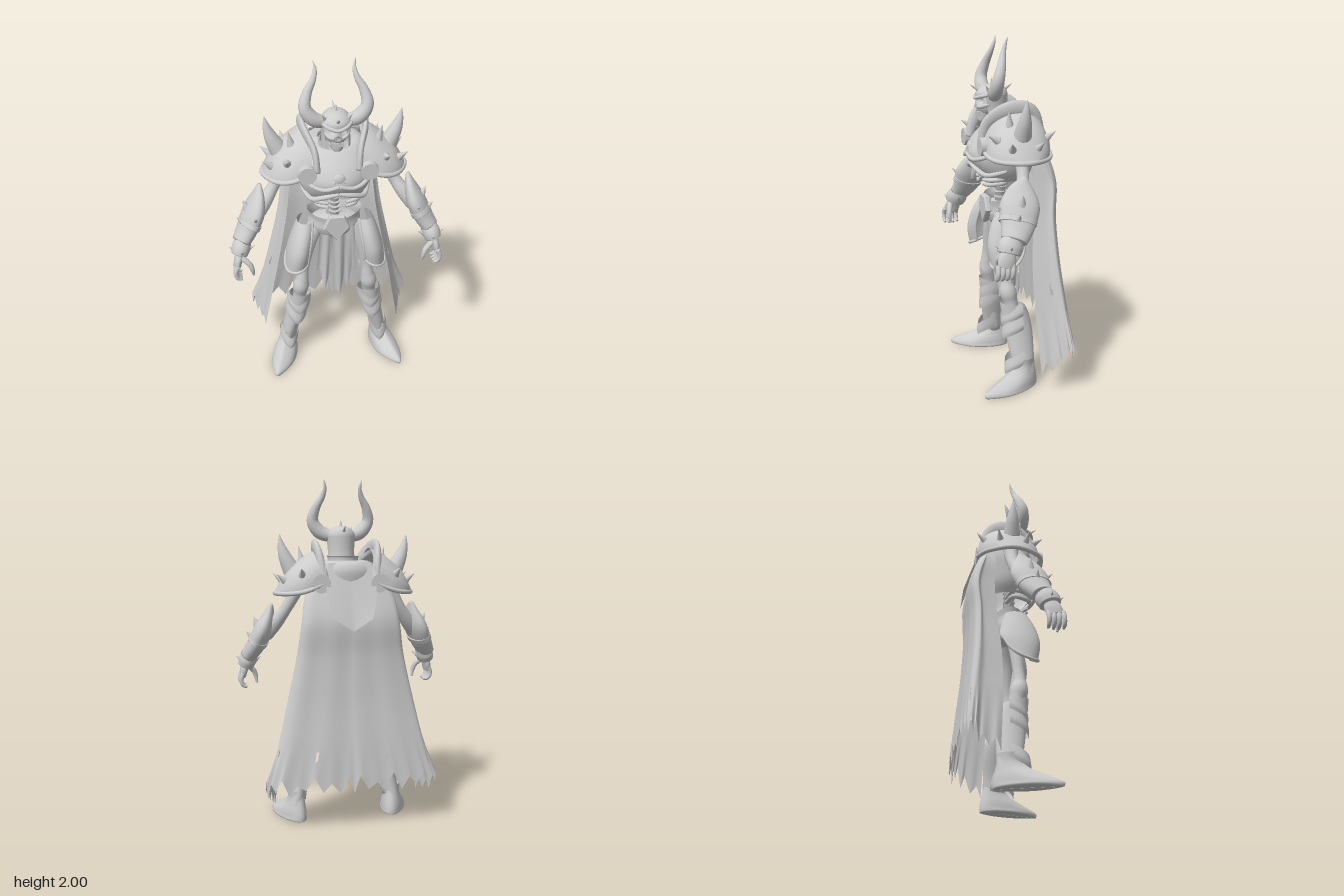
import * as THREE from 'three';

const grey = new THREE.MeshStandardMaterial({ color: 0xcccccc, side: THREE.DoubleSide });
grey.name = 'light grey';

// smooth interpolation through rows of numbers
function along(rows, t) {
  const f = Math.min(Math.max(t, 0), 1) * (rows.length - 1);
  const i = Math.min(Math.floor(f), rows.length - 2), k = f - i;
  const at = j => rows[Math.min(Math.max(j, 0), rows.length - 1)];
  return rows[0].map((_, c) => {
    const [p, a, b, n] = [at(i - 1)[c], at(i)[c], at(i + 1)[c], at(i + 2)[c]];
    const m0 = (b - p) / 2, m1 = (n - a) / 2;
    return a + m0 * k + (3 * (b - a) - 2 * m0 - m1) * k * k + (2 * (a - b) + m0 + m1) * k * k * k;
  });
}

// grid surface from fn(u, v); skip(i, j) leaves holes
function sheet(fn, nu, nv, wrap = false, skip = () => false) {
  const pos = [], idx = [], cols = wrap ? nu : nu + 1;
  for (let j = 0; j <= nv; j++) for (let i = 0; i < cols; i++) pos.push(...fn(i / nu, j / nv));
  for (let j = 0; j < nv; j++) for (let i = 0; i < nu; i++) {
    if (skip(i, j)) continue;
    const a = j * cols + i, b = j * cols + (i + 1) % cols;
    idx.push(a, b, a + cols, b, b + cols, a + cols);
  }
  const g = new THREE.BufferGeometry();
  g.setAttribute('position', new THREE.Float32BufferAttribute(pos, 3));
  g.setIndex(idx);
  g.computeVertexNormals();
  return g;
}

// stacked horizontal ellipses, rows: [y, cx, cz, rx, rz]
function loft(rows, { a0 = 0, a1 = Math.PI * 2, warp = () => 0, nv = 16 } = {}) {
  return sheet((u, v) => {
    const [y, cx, cz, rx, rz] = along(rows, v), a = a0 + (a1 - a0) * u;
    return [cx + rx * Math.sin(a), y + warp(a, v, u), cz + rz * Math.cos(a)];
  }, 36, nv, a1 - a0 > 6.28);
}

// tapered tube, rows: [x, y, z, r] or [x, y, z, rAlongRef, rAcross]; closed at both ends
function limb(rows, ref = [0, 0, 1], nu = 14) {
  const nv = rows.length * 5;
  const R = new THREE.Vector3(...ref), T = new THREE.Vector3(), N = new THREE.Vector3(), B = new THREE.Vector3();
  return sheet((u, v) => {
    const t = (v * (nv + 2) - 1) / nv, p = along(rows, t);
    const q0 = along(rows, Math.max(t, 0) - 0.01 * (t > 0.5)), q1 = along(rows, Math.min(t, 1) + 0.01 * (t <= 0.5));
    T.set(q1[0] - q0[0], q1[1] - q0[1], q1[2] - q0[2]).normalize();
    N.copy(R).addScaledVector(T, -R.dot(T)).normalize();
    B.crossVectors(T, N);
    const end = t < -1e-6 || t > 1 + 1e-6 ? 0.001 : 1, a = u * Math.PI * 2;
    const c = p[3] * end * Math.cos(a), s = (p[4] ?? p[3]) * end * Math.sin(a);
    return [0, 1, 2].map(k => p[k] + N.getComponent(k) * c + B.getComponent(k) * s);
  }, nu, nv + 2, true);
}
const spike = (a, b, r) => limb([[...a, r], [...a.map((p, k) => p + (b[k] - p) * 0.5), r * 0.5], [...b, 0.001]], [0.6, 0, 0.8], 10);

function mirrored(g) {
  const m = g.clone().scale(-1, 1, 1);
  for (let i = 0, A = m.index.array; i < A.length; i += 3) [A[i], A[i + 1]] = [A[i + 1], A[i]];
  m.computeVertexNormals();
  return m;
}

export function createModel() {
  const model = new THREE.Group();
  model.name = 'hornedKnight';
  const add = (name, g) => { const m = new THREE.Mesh(g, grey); m.name = name; model.add(m); };
  const pair = (name, g) => { add(name + 'Left', g); add(name + 'Right', mirrored(g)); };
  let seed = 11;
  const rand = () => (seed = (seed * 16807) % 2147483647) / 2147483647;

  // head: skull with sunken eyes and nose, jaw, helmet
  const skull = new THREE.SphereGeometry(1, 40, 32).scale(0.068, 0.085, 0.09).translate(0, 1.635, 0.108);
  const P = skull.attributes.position;
  for (let i = 0; i < P.count; i++) {
    const x = P.getX(i), y = P.getY(i), z = P.getZ(i);
    if (z < 0.12) continue;
    const eye = Math.exp(-((Math.abs(x) - 0.028) ** 2 + (y - 1.648) ** 2) / 0.0003);
    const nose = Math.exp(-(x * x * 2 + (y - 1.613) ** 2) / 0.00015);
    P.setZ(i, z - 0.035 * eye - 0.02 * nose);
  }
  skull.computeVertexNormals();
  add('skull', skull);
  add('jaw', loft([[1.53, 0, 0.15, 0.002, 0.002], [1.532, 0, 0.15, 0.026, 0.03], [1.56, 0, 0.14, 0.036, 0.048], [1.59, 0, 0.13, 0.042, 0.06]]));
  for (let i = -3; i <= 3; i++) add('tooth', new THREE.BoxGeometry(0.008, 0.022, 0.01).translate(i * 0.009, 1.575, 0.188 - i * i * 0.001));
  pair('cheekbone', limb([[0.02, 1.615, 0.19, 0.008], [0.045, 1.618, 0.172, 0.012], [0.064, 1.63, 0.13, 0.01]]));
  add('helmetDome', loft([[1.67, 0, 0.1, 0.085, 0.092], [1.695, 0, 0.1, 0.081, 0.09], [1.72, 0, 0.095, 0.06, 0.072], [1.735, 0, 0.092, 0.032, 0.037], [1.739, 0, 0.09, 0.001, 0.001]]));
  add('helmetGuard', loft([[1.53, 0, 0.085, 0.08, 0.08], [1.6, 0, 0.092, 0.078, 0.082], [1.68, 0, 0.1, 0.086, 0.092]], { a0: 0.95, a1: Math.PI * 2 - 0.95 }));
  const brow = [-1.1, -0.6, 0, 0.6, 1.1].map(a => [0.086 * Math.sin(a), 1.662 + 0.02 * Math.abs(a), 0.1 + 0.096 * Math.cos(a), 0.01]);
  add('browRidge', limb(brow, [0, 1, 0]));
  for (const a of [0, 1.1, -1.1, Math.PI]) {
    const s = Math.sin(a), c = Math.cos(a);
    add('helmetSpike', spike([0.07 * s, 1.705, 0.1 + 0.075 * c], [0.09 * s, 1.738, 0.1 + 0.125 * c], 0.012));
  }
  add('crownSpike', spike([0, 1.72, 0.1], [0, 1.772, 0.1], 0.014));
  pair('horn', limb([[0.05, 1.675, 0.1, 0.032], [0.12, 1.7, 0.115, 0.04], [0.166, 1.765, 0.112, 0.035], [0.152, 1.84, 0.09, 0.026],
    [0.117, 1.905, 0.07, 0.017], [0.104, 1.955, 0.053, 0.01], [0.112, 2, 0.04, 0.001]], [0, 0, 1], 18));

  // neck and spine bones
  for (let i = 0; i < 4; i++) add('neckBone', new THREE.CylinderGeometry(0.035, 0.028, 0.026, 14).translate(0, 1.46 + i * 0.03, 0.085));
  add('spineCore', limb([[0, 1.0, 0.04, 0.025], [0, 1.3, 0.05, 0.025]]));
  for (let i = 0; i < 7; i++) add('spineBone', new THREE.CylinderGeometry(0.036, 0.026, 0.024, 14).translate(0, 1.07 + i * 0.031, 0.05));

  // breastplate, ribs and chest trim
  add('breastplate', loft([[1.2, 0, 0.04, 0.15, 0.15], [1.26, 0, 0.045, 0.19, 0.18], [1.34, 0, 0.05, 0.21, 0.2], [1.42, 0, 0.03, 0.215, 0.19],
    [1.49, 0, 0.0, 0.19, 0.165], [1.535, 0, -0.005, 0.14, 0.13], [1.54, 0, 0.03, 0.08, 0.08]],
    { warp: (a, v) => (1 - v) ** 4 * 0.07 * Math.max(0, Math.cos(a)) ** 3 - v ** 4 * 0.05 * Math.max(0, Math.cos(a)), nv: 28 }));
  add('collar', loft([[1.49, 0, 0.045, 0.09, 0.095], [1.55, 0, 0.045, 0.09, 0.095], [1.565, 0, 0.045, 0.095, 0.1]], { a0: 0.9, a1: Math.PI * 2 - 0.9 }));
  pair('chestRim', limb([[0.2, 1.38, 0.13, 0.01], [0.15, 1.345, 0.2, 0.012], [0.08, 1.33, 0.238, 0.012], [0, 1.35, 0.247, 0.012]]));
  pair('lowerRim', limb([[0.19, 1.27, 0.07, 0.012], [0.15, 1.245, 0.17, 0.014], [0.08, 1.27, 0.215, 0.014], [0, 1.29, 0.225, 0.012]]));
  for (let i = 0; i < 2; i++) pair('rib', limb([[0.03, 1.22 - i * 0.03, 0.03, 0.012], [0.14 - i * 0.02, 1.22 - i * 0.03, 0.06, 0.014],
    [0.125 - i * 0.02, 1.21 - i * 0.03, 0.14, 0.014], [0.05, 1.2 - i * 0.025, 0.17, 0.008]], [0, 1, 0]));
  add('chestOrnament', new THREE.SphereGeometry(1, 20, 14).scale(0.036, 0.035, 0.02).translate(0, 1.385, 0.228));
  pair('ornamentWing', limb([[0.02, 1.375, 0.235, 0.012], [0.05, 1.365, 0.23, 0.01], [0.07, 1.38, 0.222, 0.002]]));

  // shoulder armour, flaring towards its rim
  const dome = [[0.14, 1.61, 1.42, 0.175], [0.2, 1.59, 1.39, 0.18], [0.265, 1.545, 1.37, 0.175], [0.325, 1.495, 1.36, 0.148], [0.367, 1.435, 1.355, 0.108], [0.4, 1.372, 1.35, 0.055], [0.408, 1.353, 1.35, 0.002]];
  pair('pauldron', sheet((u, v) => {
    const [x, yt, yb, h] = along(dome, v), a = u * Math.PI, s = Math.sin(a);
    return [x, yb + (yt - yb) * s, 0.02 + h * Math.cos(a) - 0.035 * s * (1 - v)];
  }, 28, 24));
  pair('pauldronRim', limb([[0.14, 1.415, 0.195, 0.012], [0.25, 1.375, 0.2, 0.013], [0.345, 1.358, 0.15, 0.013], [0.405, 1.355, 0.02, 0.014],
    [0.345, 1.358, -0.11, 0.013], [0.25, 1.375, -0.16, 0.013], [0.14, 1.42, -0.16, 0.012]], [0, 1, 0]));
  pair('neckCrest', limb([[0.115, 1.42, 0.2, 0.018, 0.02], [0.125, 1.53, 0.165, 0.018, 0.035], [0.165, 1.605, 0.075, 0.018, 0.043], [0.18, 1.62, -0.03, 0.018, 0.042],
    [0.17, 1.57, -0.1, 0.022, 0.035], [0.15, 1.43, -0.15, 0.03, 0.02]], [1, 0, 0]));
  for (const z of [0.205, -0.155]) pair('shoulderDisc', new THREE.CylinderGeometry(0.05, 0.053, 0.035, 24).rotateX(Math.PI / 2).translate(0.17, 1.415, z));
  pair('shoulderHorn', limb([[0.305, 1.48, 0.02, 0.052], [0.345, 1.56, 0.02, 0.038], [0.368, 1.63, 0.02, 0.02], [0.377, 1.69, 0.018, 0.001]]));
  for (const [a, b] of [[[0.24, 1.53, 0.07], [0.257, 1.62, 0.08]], [[0.27, 1.46, 0.145], [0.28, 1.495, 0.205]], [[0.27, 1.46, -0.125], [0.285, 1.5, -0.18]],
    [[0.35, 1.42, 0.09], [0.405, 1.465, 0.11]], [[0.35, 1.42, -0.05], [0.405, 1.465, -0.07]]]) pair('shoulderSpike', spike(a, b, 0.025));

  // arms, gauntlets and hands
  pair('upperArm', limb([[0.26, 1.45, 0.02, 0.05], [0.29, 1.36, 0.02, 0.04], [0.345, 1.26, 0.03, 0.034], [0.4, 1.18, 0.06, 0.042], [0.45, 1.1, 0.09, 0.035]]));
  pair('gauntlet', limb([[0.425, 1.29, 0.045, 0.012, 0.01], [0.44, 1.22, 0.07, 0.075, 0.035], [0.467, 1.14, 0.09, 0.108, 0.055], [0.508, 1.05, 0.115, 0.092, 0.055], [0.55, 0.98, 0.15, 0.07, 0.048]], [-0.2, 0, 1], 20));
  pair('gauntletBand', limb([[0.488, 1.085, 0.105, 0.104, 0.06], [0.502, 1.06, 0.114, 0.102, 0.06]], [-0.2, 0, 1], 20));
  pair('wristCuff', limb([[0.538, 0.995, 0.15, 0.055, 0.046], [0.553, 0.955, 0.17, 0.068, 0.053], [0.565, 0.92, 0.182, 0.062, 0.048]], [0, 0, 1], 18));
  for (const [a, b, r] of [[[0.49, 1.14, 0.09], [0.525, 1.215, 0.09], 0.038], [[0.525, 1.08, 0.12], [0.565, 1.125, 0.12], 0.026], [[0.46, 1.12, 0.17], [0.465, 1.16, 0.22], 0.02],
    [[0.59, 0.95, 0.18], [0.62, 0.97, 0.185], 0.018], [[0.55, 0.95, 0.225], [0.555, 0.97, 0.255], 0.016], [[0.515, 0.94, 0.17], [0.475, 0.965, 0.18], 0.016]]) pair('gauntletSpike', spike(a, b, r));
  pair('palm', limb([[0.56, 0.94, 0.18, 0.035, 0.025], [0.575, 0.89, 0.195, 0.05, 0.024], [0.582, 0.85, 0.205, 0.045, 0.02]]));
  for (let i = 0; i < 4; i++) {
    const z = 0.165 + i * 0.027;
    pair('finger', limb([[0.58, 0.87, z, 0.014], [0.595, 0.83, z + 0.003, 0.013], [0.585, 0.795, z + 0.004, 0.012], [0.56, 0.775 + Math.abs(i - 1.5) * 0.006, z + 0.003, 0.007]]));
  }
  pair('thumb', limb([[0.555, 0.91, 0.215, 0.017], [0.515, 0.875, 0.23, 0.016], [0.5, 0.835, 0.235, 0.013], [0.495, 0.795, 0.23, 0.006]]));

  // belt, buckle and hip plates
  add('pelvis', loft([[0.9, 0, 0.04, 0.03, 0.04], [0.95, 0, 0.04, 0.12, 0.08], [1.03, 0, 0.04, 0.14, 0.09], [1.06, 0, 0.04, 0.05, 0.04]]));
  add('belt', loft([[0.99, 0, 0.04, 0.155, 0.1], [1.03, 0, 0.04, 0.15, 0.1], [1.07, 0, 0.04, 0.16, 0.105]], { warp: a => 0.03 * Math.sin(a) ** 2 }));
  const plate = new THREE.Shape([[-0.04, 1.09], [0.04, 1.09], [0.07, 1.02], [0, 0.94], [-0.07, 1.02]].map(p => new THREE.Vector2(...p)));
  add('buckle', new THREE.ExtrudeGeometry(plate, { depth: 0.02, bevelSize: 0.006, bevelThickness: 0.01, bevelSegments: 1 }).translate(0, 0, 0.13));
  const hem = u => 0.045 * (2 * u - 1) ** 2 + 0.11 * Math.max(0, 2 * u - 1) ** 2;
  const hip = [[1.04, 0.172, 0.06, 0.05, 0.065], [0.95, 0.192, 0.07, 0.064, 0.1], [0.84, 0.214, 0.075, 0.073, 0.117], [0.725, 0.225, 0.075, 0.075, 0.1]];
  pair('tasset', loft(hip, { a0: -0.8, a1: 2.9, warp: (a, v, u) => v ** 3 * hem(u) }));
  const hipPoint = (u, v) => {
    const [y, cx, cz, rx, rz] = along(hip, v), a = -0.8 + 3.7 * u;
    return [cx + rx * Math.sin(a), y + v ** 3 * hem(u), cz + rz * Math.cos(a), 0.009];
  };
  const rimPath = [0, 0.3, 0.6, 0.9].map(v => hipPoint(0, v)).concat([0, 0.15, 0.3, 0.5, 0.7, 0.85, 1].map(u => hipPoint(u, 1)));
  pair('tassetRim', limb(rimPath, [1, 0.3, 0]));

  // legs, greaves and boots
  pair('thighBone', limb([[0.11, 0.98, 0.04, 0.05], [0.16, 0.86, 0.06, 0.045], [0.19, 0.7, 0.07, 0.033], [0.2, 0.62, 0.075, 0.038], [0.21, 0.56, 0.07, 0.05], [0.22, 0.46, 0.05, 0.04], [0.28, 0.12, 0, 0.04]]));
  pair('greave', loft([[0.09, 0.3, -0.005, 0.045, 0.06], [0.2, 0.28, 0.008, 0.046, 0.072], [0.33, 0.245, 0.018, 0.056, 0.083], [0.43, 0.222, 0.032, 0.064, 0.082], [0.49, 0.215, 0.045, 0.067, 0.076]],
    { warp: (a, v) => v ** 3 * 0.02 * Math.cos(a) }));
  for (const [y, x, r] of [[0.44, 0.22, 0.069], [0.36, 0.238, 0.063], [0.16, 0.288, 0.052]]) pair('greaveBand', loft(
    [[y - 0.03, x, 0.025, r, 0.088], [y, x, 0.025, r + 0.005, 0.092], [y + 0.05, x - 0.008, 0.028, r, 0.084]], { a0: -1.8, a1: 1.8, warp: a => -0.05 + 0.04 * Math.abs(a) }));
  const sole = [[0, -0.095, 0.27, 0.002], [0, -0.095, 0.27, 0.07], [0.025, -0.097, 0.268, 0.073], [0.06, -0.092, 0.19, 0.066], [0.1, -0.083, 0.1, 0.052], [0.14, -0.075, 0.06, 0.045], [0.18, -0.075, 0.06, 0.048]];
  pair('boot', sheet((u, v) => {
    const [y, z0, z1, w] = along(sole, v), a = u * Math.PI * 2, c = Math.cos(a);
    return [w * Math.sin(a) * (c > 0 ? 1 - 0.5 * c * c : 1), Math.max(y, 0), (z0 + z1) / 2 + c * (z1 - z0) / 2];
  }, 32, 24, true).rotateY(0.34).translate(0.302, 0, 0.01));

  // tattered cape with soft folds, torn hem and a few holes
  const capeRows = [[1.53, 0.15, -0.12, -0.08], [1.37, 0.25, -0.175, -0.06], [1.2, 0.285, -0.22, -0.07], [1.0, 0.315, -0.21, -0.06], [0.75, 0.37, -0.22, -0.04], [0.5, 0.43, -0.245, -0.04], [0.27, 0.505, -0.265, -0.06]];
  const knots = Array.from({ length: 41 }, (_, i) => [i % 2 ? 0.02 + 0.07 * rand() : -0.05 * rand()]);
  const torn = u => { const f = u * 40, i = Math.min(Math.floor(f), 39); return knots[i][0] + (knots[i + 1][0] - knots[i][0]) * (f - i); };
  const holes = new Set(['10,37', '10,38', '11,38', '24,42', '24,43', '46,44', '75,43', '75,44', '95,42', '110,37', '110,38', '109,38']);
  add('cape', sheet((u, v) => {
    const s = u * 2 - 1, [y, w, zb, zf] = along(capeRows, v);
    const [x, z] = along([[0, zb], [0.3 * w, zb], [0.62 * w, zb + 0.006], [0.9 * w, zb + 0.02], [w, zb + 0.05], [0.93 * w, (zb + zf) / 2], [0.86 * w, zf]], Math.abs(s));
    const low = Math.max(0, (v - 0.82) / 0.18), drop = torn(u) - 0.1 * Math.max(0, Math.abs(s) - 0.75) / 0.25 - 0.02;
    return [Math.sign(s) * x, y + low * drop, z + 0.004 * v * Math.sin(s * 24) * (1 - s * s)];
  }, 120, 50, false, (i, j) => holes.has(i + ',' + j)));
  // pointed plate lying over the upper back of the cape
  add('backPlate', sheet((u, v) => {
    const s = u * 2 - 1, w = 0.12 + 0.03 * Math.sin(v * Math.PI) - 0.01 * v;
    return [s * w, 1.53 - 0.31 * v - 0.07 * v * (1 - Math.abs(s)), -0.13 - 0.112 * v + 0.005 * s * s];
  }, 16, 12));

  // torn loincloth
  add('loincloth', sheet((u, v) => {
    const s = u * 2 - 1, end = 0.46 + 0.2 * s * s + torn(0.3 + u * 0.25) * 1.4;
    return [s * (0.1 + 0.02 * v) + 0.01, 1.0 + (end - 1.0) * v, 0.11 - 0.05 * v + 0.006 * Math.sin(s * 9)];
  }, 40, 14));
  return model;
}
